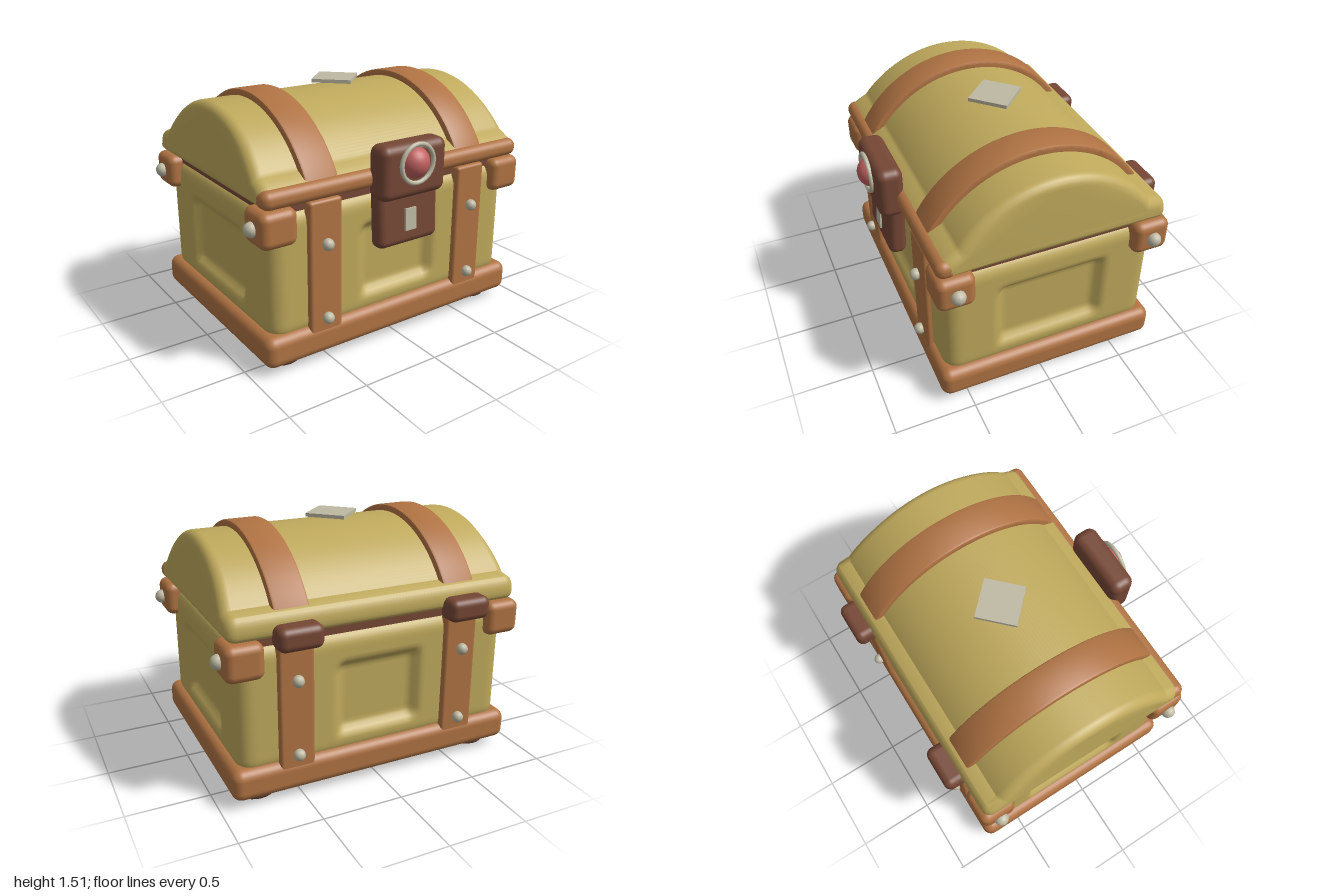
import * as THREE from 'three';
import { RoundedBoxGeometry } from 'three/addons/geometries/RoundedBoxGeometry.js';
import { toCreasedNormals, mergeVertices } from 'three/addons/utils/BufferGeometryUtils.js';

const mat = (color) => new THREE.MeshStandardMaterial({ color });
const CZ = -0.04; // middle of the chest in z
const ARC_Y = 0.73; // centre height of the lid's arch

export function createModel() {
  const chest = new THREE.Group();
  chest.name = 'treasureChest';
  const wood = mat(0xbfa95c), trim = mat(0xb07343), dark = mat(0x754735);
  const metal = mat(0xbdb9a3), red = mat(0xc26060);

  const add = (name, geometry, material, x = 0, y = 0, z = 0) => {
    const mesh = new THREE.Mesh(geometry, material);
    mesh.name = name;
    mesh.position.set(x, y, z);
    chest.add(mesh);
    return mesh;
  };
  const rbox = (w, h, d, r) => new RoundedBoxGeometry(w, h, d, 4, r);

  // Extrudes a (z, y) profile along x, centred, with a rounded edge
  const extrudeX = (shape, width, bevel, segments) => {
    const g = new THREE.ExtrudeGeometry(shape, {
      depth: width - 2 * bevel, bevelEnabled: true, bevelThickness: bevel, bevelSize: bevel,
      bevelOffset: -bevel, bevelSegments: segments, curveSegments: 32,
    });
    g.translate(0, 0, -(width - 2 * bevel) / 2);
    g.rotateY(-Math.PI / 2);
    return g;
  };

  // Base plinth and feet
  add('base', rbox(1.86, 0.195, 1.42, 0.06), trim, 0, 0.148, CZ);
  const footProfile = [[0, 0], [0.09, 0], [0.115, 0.01], [0.125, 0.03], [0.125, 0.08], [0, 0.08]];
  const footGeo = toCreasedNormals(
    new THREE.LatheGeometry(footProfile.map(([r, y]) => new THREE.Vector2(r, y)), 24), 0.9);
  for (const x of [-0.745, 0.745]) {
    for (const z of [0.475, -0.56]) add('foot', footGeo, dark, x, 0, z);
  }

  // Body with a sunken panel on each of its four sides
  add('body', bodyGeometry(1.76, 0.8, 1.34, 0.1), wood, 0, 0.58, CZ);
  add('lidSeat', new THREE.BoxGeometry(1.72, 0.06, 1.3), dark, 0, 0.99, CZ);

  // Arched lid, flaring slightly at the bottom
  const lid = new THREE.Shape();
  lid.moveTo(0.6, 1.01);
  lid.lineTo(-0.69, 1.01);
  lid.quadraticCurveTo(-0.735, 1.01, -0.735, 1.06);
  lid.quadraticCurveTo(-0.735, 1.12, -0.70, 1.15);
  lid.absarc(CZ, ARC_Y, 0.73, Math.PI - 0.64, 0.64, true);
  lid.quadraticCurveTo(0.6, 1.14, 0.635, 1.11);
  lid.lineTo(0.635, 1.05);
  lid.quadraticCurveTo(0.635, 1.01, 0.6, 1.01);
  const lidGeo = extrudeX(lid, 1.86, 0.06, 5);
  const lp = lidGeo.attributes.position;
  for (let i = 0; i < lp.count; i++) {
    const t = THREE.MathUtils.smoothstep(lp.getY(i), 1.05, 1.4);
    lp.setX(i, lp.getX(i) * (1 - 0.032 * t));
  }
  add('lid', toCreasedNormals(lidGeo, 0.7), wood);
  add('lidRim', rbox(1.86, 0.11, 0.125, 0.05), trim, 0, 1.065, 0.612);

  // Straps, studs and hinges
  const band = new THREE.Shape();
  band.absarc(CZ, ARC_Y, 0.77, 0.5, Math.PI - 0.5, false);
  band.absarc(CZ, ARC_Y, 0.69, Math.PI - 0.5, 0.5, true);
  const bandGeo = toCreasedNormals(extrudeX(band, 0.215, 0.015, 2), 0.6);
  const strapGeo = rbox(0.215, 0.84, 0.07, 0.02);
  const studGeo = new THREE.SphereGeometry(0.036, 10, 8);
  for (const x of [-0.538, 0.538]) {
    add('lidStrap', bandGeo, trim, x);
    for (const [z, out] of [[0.63, 1], [-0.71, -1]]) {
      add('bodyStrap', strapGeo, trim, x, 0.59, z);
      for (const y of [0.29, 0.75]) add('strapStud', studGeo, metal, x, y, z + out * 0.05);
    }
    add('hinge', rbox(0.27, 0.14, 0.15, 0.045), dark, x, 1.02, -0.765);
  }

  // Corner brackets with side studs
  const bracketGeo = rbox(0.23, 0.215, 0.23, 0.05);
  const cornerStudGeo = new THREE.SphereGeometry(0.045, 10, 8);
  for (const s of [-1, 1]) {
    for (const z of [0.57, -0.65]) {
      add('cornerBracket', bracketGeo, trim, s * 0.835, 0.9, z);
      add('cornerStud', cornerStudGeo, metal, s * 0.955, 0.9, z);
    }
  }

  // Clasp: upper plate, lower plate, keyhole, gem and ring
  add('claspUpper', rbox(0.47, 0.33, 0.16, 0.055), dark, 0, 1.105, 0.697);
  add('claspLower', rbox(0.44, 0.38, 0.11, 0.045), dark, 0, 0.83, 0.675).rotation.x = -0.06;
  add('keyhole', new THREE.BoxGeometry(0.08, 0.135, 0.02), metal, 0, 0.8, 0.733).rotation.x = -0.06;
  add('gem', new THREE.SphereGeometry(0.095, 24, 16), red, 0, 1.15, 0.745);
  add('gemRing', new THREE.TorusGeometry(0.115, 0.014, 8, 24), metal, 0, 1.15, 0.785);

  // Diamond plate on top of the lid
  const side = 0.175 * Math.SQRT2;
  add('topPlate', new THREE.BoxGeometry(side, 0.022, side), metal, 0, 1.5, -0.05).rotation.y = Math.PI / 4;

  return chest;
}

// Finely divided box, rounded by radius r, with its side panels pushed inward
function bodyGeometry(w, h, d, r) {
  let g = new THREE.BoxGeometry(w, h, d, 72, 36, 56);
  g.deleteAttribute('uv');
  g.deleteAttribute('normal');
  g = mergeVertices(g);
  const p = g.attributes.position;
  const v = new THREE.Vector3(), core = new THREE.Vector3();
  const inner = new THREE.Vector3(w / 2 - r, h / 2 - r, d / 2 - r);
  const fall = (a, half) => 1 - THREE.MathUtils.smoothstep(Math.abs(a), half - 0.07, half);
  for (let i = 0; i < p.count; i++) {
    v.fromBufferAttribute(p, i);
    const onX = Math.abs(v.x) > w / 2 - 0.001, onZ = Math.abs(v.z) > d / 2 - 0.001;
    core.copy(v).clamp(inner.clone().negate(), inner);
    v.sub(core).setLength(r).add(core);
    const up = fall(v.y + 0.025, 0.25);
    if (onZ) v.z -= Math.sign(v.z) * 0.05 * up * fall(v.x, 0.29);
    if (onX) v.x -= Math.sign(v.x) * 0.05 * up * fall(v.z, 0.36);
    p.setXYZ(i, v.x, v.y, v.z);
  }
  g.computeVertexNormals();
  return g;
}
